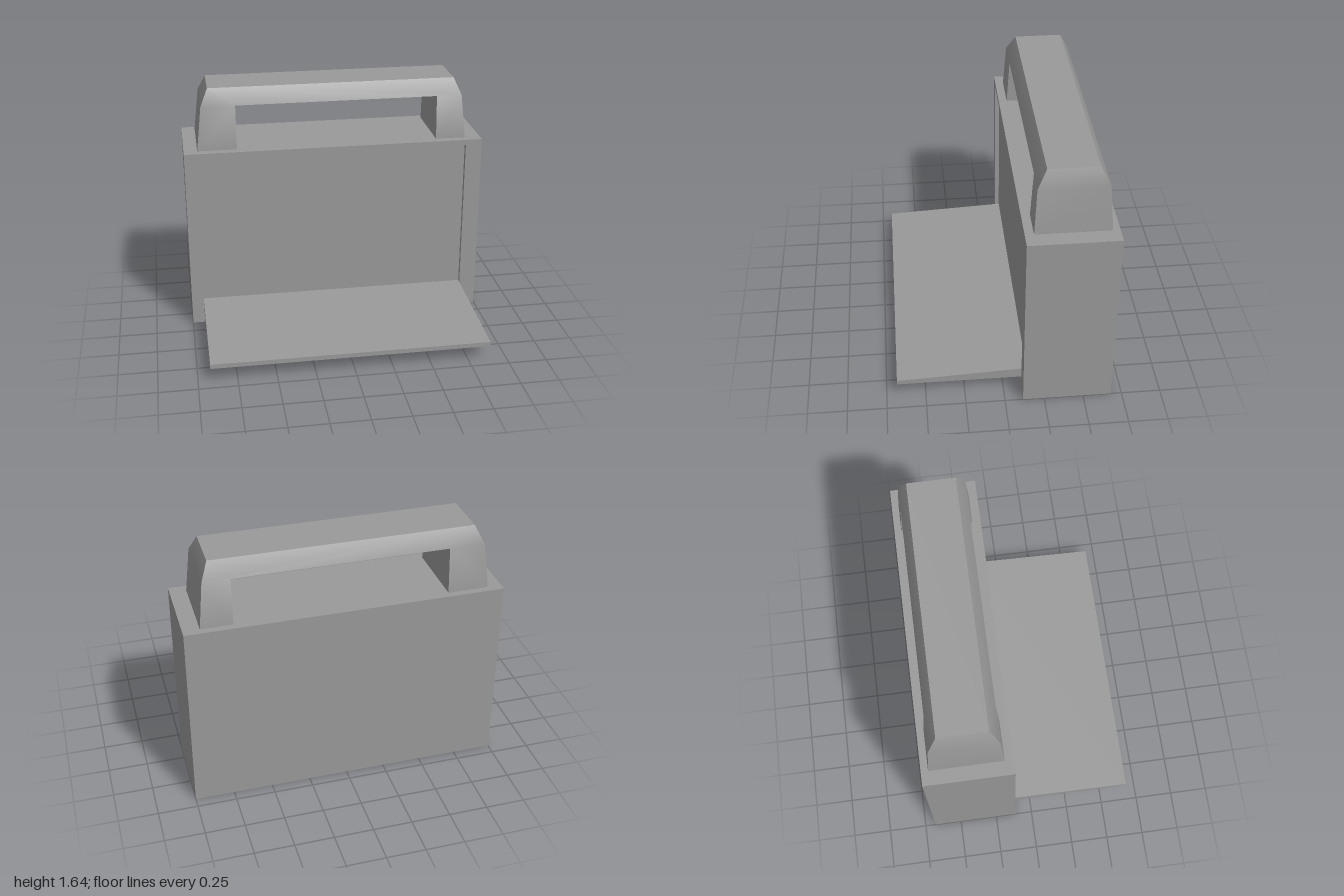
import * as THREE from 'three';
import { mergeGeometries } from 'three/addons/utils/BufferGeometryUtils.js';

const BODY_TOP = 1.235, FRONT = -0.115, BACK = -0.68, RECESS = -0.145;
const LEFT = 0.89, RIGHT = -0.92, SILL = 0.095, LINTEL = 1.2;

// One smooth-shaded panel; edges between separate panels stay sharp
function panel(points, triangles, flip = false) {
  const g = new THREE.BufferGeometry();
  g.setAttribute('position', new THREE.Float32BufferAttribute(points.flat(), 3));
  g.setIndex(triangles.flatMap(([a, b, c]) => (flip ? [a, c, b] : [a, b, c])));
  g.computeVertexNormals();
  return g;
}

function handleGeometry() {
  // Tapering rectangular sections from the feet to the top
  const sections = [
    { y: BODY_TOP, x0: -0.91, x1: 0.895, zf: -0.17, zb: -0.635 },
    { y: 1.53, x0: -0.875, x1: 0.865, zf: -0.187, zb: -0.612 },
    { y: 1.638, x0: -0.825, x1: 0.82, zf: -0.245, zb: -0.555 },
  ];
  const [foot, mid, top] = sections;
  const in0 = -0.65, in1 = 0.695; // grip opening
  const quad = [[0, 1, 2], [0, 2, 3]];
  const parts = [];

  // Front and back: two legs and the sloping bar
  for (const [k, flip] of [['zf', false], ['zb', true]]) {
    const row = (s) => [s.x0, in0, in1, s.x1].map((x) => [x, s.y, s[k]]);
    const points = [...row(foot), ...row(mid), [top.x0, top.y, top[k]], [top.x1, top.y, top[k]]];
    parts.push(panel(points, [
      [0, 1, 5], [0, 5, 4], [2, 3, 7], [2, 7, 6],
      [8, 4, 5], [8, 5, 6], [8, 6, 7], [8, 7, 9],
    ], flip));
  }

  // Outer ends
  for (const [k, flip] of [['x1', false], ['x0', true]]) {
    const points = sections.flatMap((s) => [[s[k], s.y, s.zf], [s[k], s.y, s.zb]]);
    parts.push(panel(points, [[0, 1, 3], [0, 3, 2], [2, 3, 5], [2, 5, 4]], flip));
  }

  // Inner leg faces
  for (const [x, flip] of [[in0, false], [in1, true]]) {
    parts.push(panel([
      [x, foot.y, foot.zf], [x, foot.y, foot.zb], [x, mid.y, mid.zb], [x, mid.y, mid.zf],
    ], quad, flip));
  }

  // Level faces: bar top, bar underside
  const level = (x0, x1, s, flip) => panel(
    [[x0, s.y, s.zf], [x1, s.y, s.zf], [x1, s.y, s.zb], [x0, s.y, s.zb]], quad, flip);
  parts.push(level(top.x0, top.x1, top, false), level(in0, in1, mid, true));
  return mergeGeometries(parts);
}

export function createModel() {
  const group = new THREE.Group();
  const grey = new THREE.MeshStandardMaterial({ color: 0x999999 });
  grey.name = 'grey';
  const add = (name, geometry) => {
    const mesh = new THREE.Mesh(geometry, grey);
    mesh.name = name;
    group.add(mesh);
    return mesh;
  };

  // Case body
  const depth = RECESS - BACK;
  add('caseBody', new THREE.BoxGeometry(2, BODY_TOP, depth))
    .position.set(0, BODY_TOP / 2, BACK + depth / 2);

  // Rim around the shallow front recess
  const rim = new THREE.Shape([[-1, 0], [1, 0], [1, BODY_TOP], [-1, BODY_TOP]]
    .map((p) => new THREE.Vector2(...p)));
  rim.holes.push(new THREE.Path([[RIGHT, SILL], [RIGHT, LINTEL], [LEFT, LINTEL], [LEFT, SILL]]
    .map((p) => new THREE.Vector2(...p))));
  add('frontRim', new THREE.ExtrudeGeometry(rim, { depth: FRONT - RECESS, bevelEnabled: false }))
    .position.z = RECESS;

  // Folded-down flap, tapering towards its free edge (profile drawn in -z, y)
  const profile = new THREE.Shape([[-0.68, SILL], [-RECESS, SILL], [-RECESS, 0.166], [-0.68, 0.125]]
    .map((p) => new THREE.Vector2(...p)));
  const flap = new THREE.ExtrudeGeometry(profile, { depth: LEFT - RIGHT, bevelEnabled: false });
  flap.rotateY(Math.PI / 2);
  add('frontFlap', flap).position.x = RIGHT;

  // Carrying handle
  add('handle', handleGeometry());
  return group;
}
